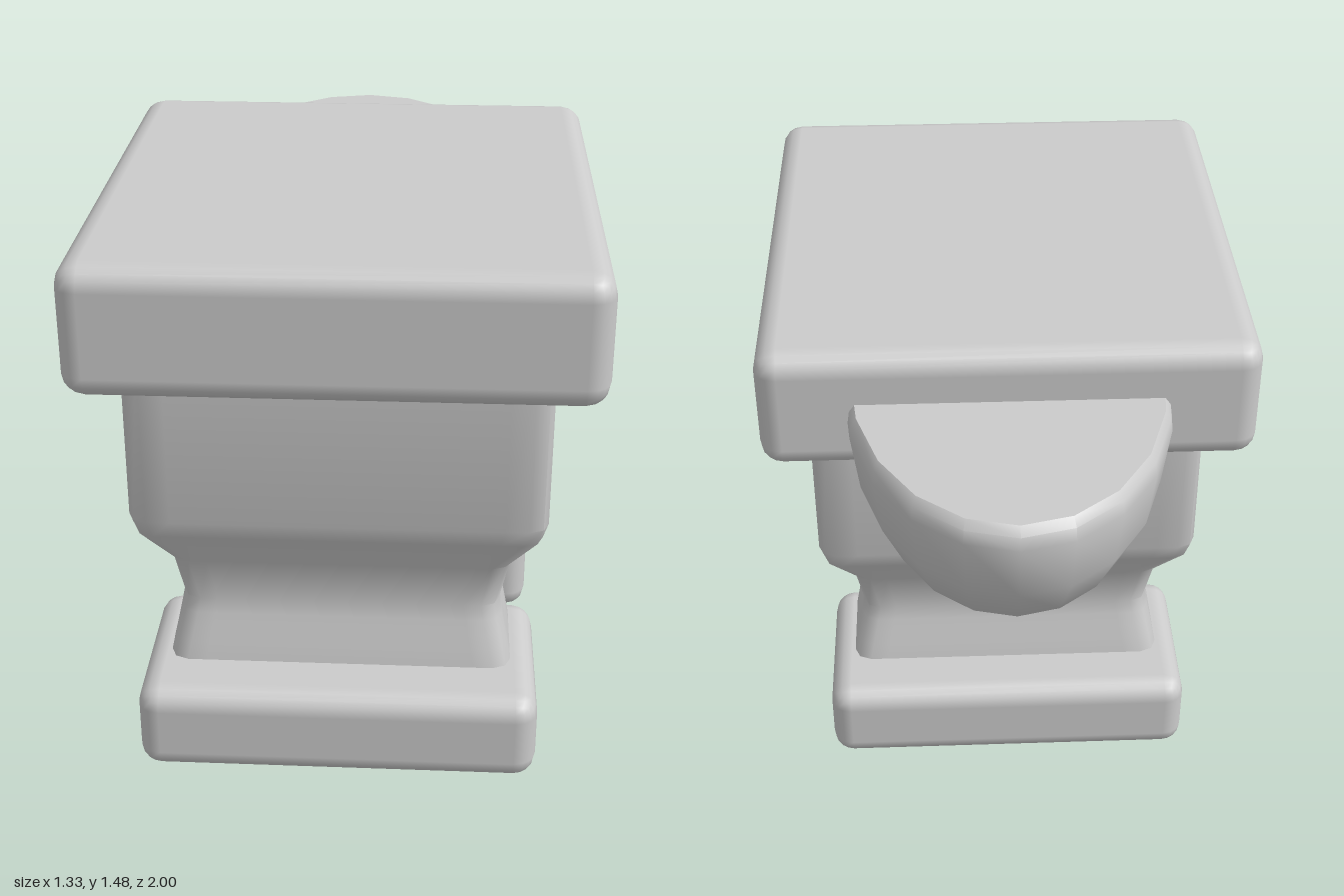
import * as THREE from 'three';
import { toCreasedNormals } from 'three/addons/utils/BufferGeometryUtils.js';
import { RoundedBoxGeometry } from 'three/addons/geometries/RoundedBoxGeometry.js';

const CENTRE_Z = 0.28;

// Body cross-sections, bottom to top: [y, half width, half depth]
const SECTIONS = [
  [0.09, 0.495, 0.54], [0.18, 0.478, 0.527], [0.25, 0.465, 0.512], [0.3, 0.455, 0.5],
  [0.34, 0.446, 0.488], [0.38, 0.438, 0.478], [0.42, 0.43, 0.468], [0.55, 0.455, 0.49],
  [0.68, 0.53, 0.585], [0.73, 0.543, 0.6], [1.2, 0.543, 0.6],
];

// Rounded rectangle, with points along the edges between the corners
function roundedRing(hx, hz, r = 0.05, cornerSteps = 2, edgeSteps = 16) {
  const ring = [];
  const corners = [[1, 1], [-1, 1], [-1, -1], [1, -1]];
  corners.forEach(([sx, sz], c) => {
    for (let k = 0; k <= cornerSteps; k++) {
      const a = (c + k / cornerSteps) * Math.PI / 2;
      ring.push([sx * (hx - r) + r * Math.cos(a), sz * (hz - r) + r * Math.sin(a)]);
    }
    const [ax, az] = ring[ring.length - 1];
    const [nx, nz] = corners[(c + 1) % 4];
    const a = (c + 1) * Math.PI / 2;
    const bx = nx * (hx - r) + r * Math.cos(a), bz = nz * (hz - r) + r * Math.sin(a);
    for (let k = 1; k < edgeSteps; k++) {
      const t = k / edgeSteps;
      ring.push([ax + (bx - ax) * t, az + (bz - az) * t]);
    }
  });
  return ring;
}

// Waisted body with a shallow arch pressed into each side between the feet
function bodyGeometry() {
  const pos = [], index = [];
  let n = 0;
  for (const [y, hx, hz] of SECTIONS) {
    const ring = roundedRing(hx, hz);
    n = ring.length;
    const arch = y < 0.42 ? 0.26 * Math.sqrt(1 - ((y - 0.09) / 0.34) ** 2) : 0;
    for (const [x, z] of ring) {
      const inArch = Math.abs(z) < arch && Math.abs(x) > hx - 0.01;
      pos.push(inArch ? Math.sign(x) * 0.43 : x, y, z + CENTRE_Z);
    }
  }
  for (let s = 0; s < SECTIONS.length - 1; s++) {
    for (let i = 0; i < n; i++) {
      const a = s * n + i, b = s * n + (i + 1) % n;
      index.push(a, a + n, b, b, a + n, b + n);
    }
  }
  // Underside and top
  const top = (SECTIONS.length - 1) * n, mid = pos.length / 3;
  pos.push(0, SECTIONS[0][0], CENTRE_Z, 0, SECTIONS[SECTIONS.length - 1][0], CENTRE_Z);
  for (let i = 0; i < n; i++) {
    const j = (i + 1) % n;
    index.push(mid, i, j, mid + 1, top + j, top + i);
  }
  const geo = new THREE.BufferGeometry();
  geo.setAttribute('position', new THREE.Float32BufferAttribute(pos, 3));
  geo.setIndex(index);
  return toCreasedNormals(geo, 0.8);
}

// Horn: half-turned bowl with a flat top and softened rim
function hornGeometry() {
  const profile = [];
  for (let i = 0; i <= 5; i++) {
    const a = i / 5 * Math.PI / 2;
    profile.push(new THREE.Vector2(Math.sin(a), 1.28 - 0.54 * Math.cos(a)));
  }
  for (const [r, y] of [[0.988, 1.315], [0.955, 1.335], [0, 1.335]]) {
    profile.push(new THREE.Vector2(r, y));
  }
  const geo = new THREE.LatheGeometry(profile, 10, Math.PI / 2, Math.PI);
  geo.scale(0.44, 1, 0.7);
  geo.translate(0, 0, -0.3);
  return toCreasedNormals(geo, 0.7);
}

export function createModel() {
  const group = new THREE.Group();
  const material = new THREE.MeshStandardMaterial({ color: 0xcccccc });
  const add = (name, geometry, y = 0, z = 0) => {
    const mesh = new THREE.Mesh(geometry, material);
    mesh.name = name;
    mesh.position.set(0, y, z);
    group.add(mesh);
  };

  add('face', new RoundedBoxGeometry(1.33, 0.345, 1.445, 2, 0.062), 1.3025, 0.2775);
  add('body', bodyGeometry());
  add('horn', hornGeometry());

  // Feet across the front and back
  for (const [name, side] of [['frontFoot', 1], ['backFoot', -1]]) {
    add(name, new RoundedBoxGeometry(1.07, 0.25, 0.525, 2, 0.06), 0.125, CENTRE_Z + side * 0.417);
  }
  return group;
}
